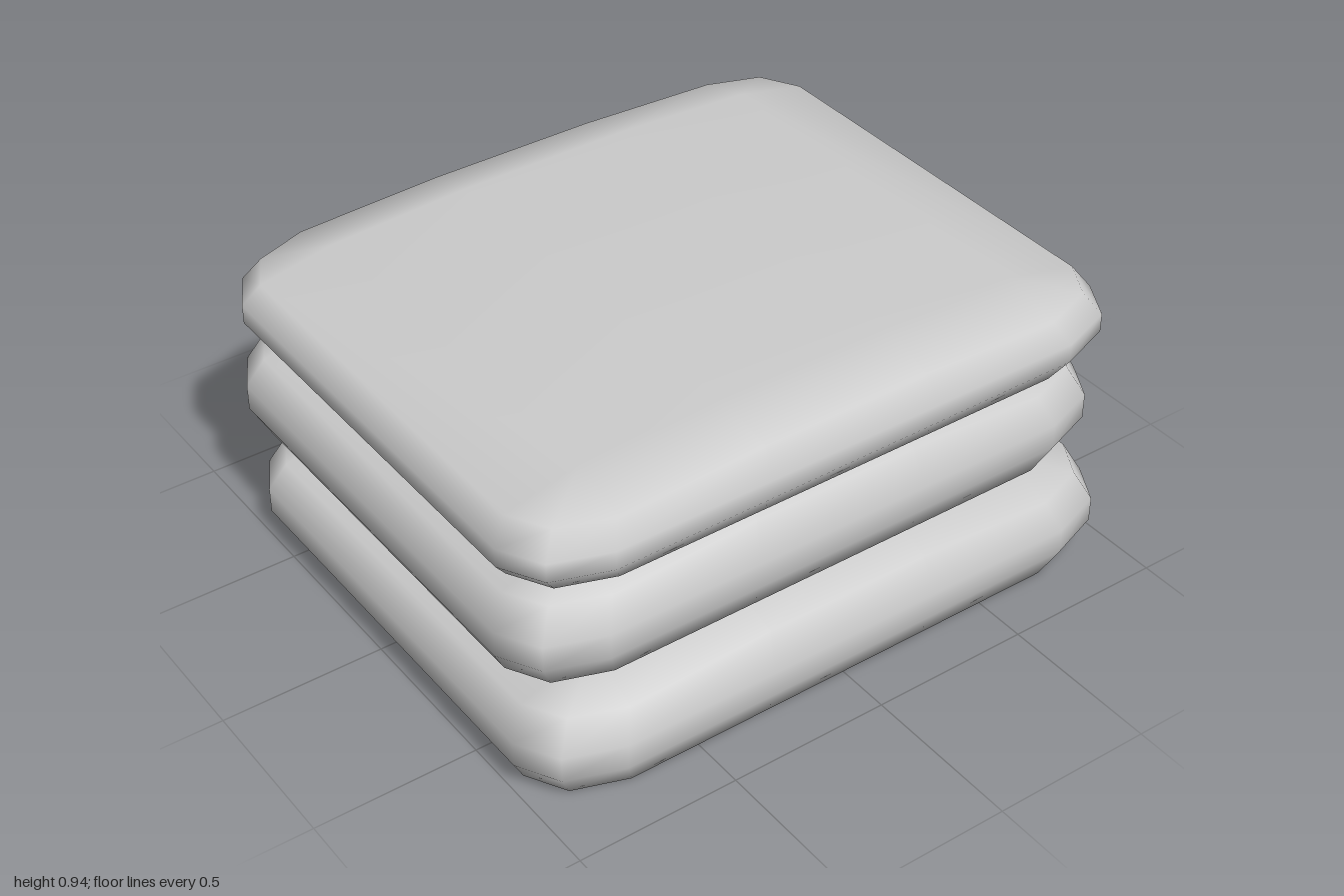
import * as THREE from 'three';
import { mergeVertices } from 'three/addons/utils/BufferGeometryUtils.js';

// One cushion: horizontal rings joined by quads, with a crown that arches across x.
function cushionGeometry(yScale) {
  // Plan outline, counterclockwise from above, built by mirroring one corner
  const corner = [[0.76, 0.84], [0.93, 0.78], [1, 0.655]];
  const flip = (pts, sx, sz) => pts.map(([x, z]) => [x * sx, z * sz]);
  const back = corner.slice().reverse();
  const outline = [
    [-0.28, 0.84], [0.28, 0.84], ...corner, ...flip(back, 1, -1),
    [0.28, -0.84], [-0.28, -0.84], ...flip(corner, -1, -1), ...flip(back, -1, 1),
  ];
  // The flat patches share one point per rounded corner
  const patch = outline.map(([x, z]) => [
    Math.sign(x) * (Math.abs(x) < 0.5 ? 0.28 : 0.72), Math.sign(z) * 0.62]);
  const inset = outline.map(([x, z]) => [x * 0.952, z * 0.952]);

  // [plan points, height, amount of crown]
  const rings = [
    [patch, 0, 0], [inset, 0.004, 0], [outline, 0.07, 0],
    [outline, 0.128, 0], [inset, 0.196, 0.018], [patch, 0.245, 0.022],
  ];
  const n = outline.length;
  const positions = [];
  for (const [pts, y, crown] of rings) {
    for (const [x, z] of pts) {
      positions.push(x, (y + (Math.abs(x) < 0.5 ? crown : 0)) * yScale, z);
    }
  }

  const index = [];
  const quad = (a, b, c, d) => index.push(a, b, c, a, c, d);
  for (let j = 0; j < rings.length - 1; j++) {
    for (let i = 0; i < n; i++) {
      const k = (i + 1) % n;
      quad(j * n + i, j * n + k, (j + 1) * n + k, (j + 1) * n + i);
    }
  }
  // Flat underside and arched top, three strips each
  const top = (rings.length - 1) * n;
  for (const [a, b, c, d] of [[0, 1, 8, 9], [1, 2, 7, 8], [15, 0, 9, 10]]) {
    quad(top + a, top + b, top + c, top + d);
    quad(d, c, b, a);
  }

  let geo = new THREE.BufferGeometry();
  geo.setAttribute('position', new THREE.Float32BufferAttribute(positions, 3));
  geo.setIndex(index);
  geo = mergeVertices(geo);
  // Drop triangles that collapsed at the patch corners
  const src = geo.index.array;
  const kept = [];
  for (let i = 0; i < src.length; i += 3) {
    const [a, b, c] = [src[i], src[i + 1], src[i + 2]];
    if (a !== b && b !== c && c !== a) kept.push(a, b, c);
  }
  geo.setIndex(kept);
  geo.computeVertexNormals();
  return geo;
}

export function createModel() {
  const group = new THREE.Group();
  group.name = 'cushionStack';
  const material = new THREE.MeshStandardMaterial({ color: 0xcccccc });
  // Stack, slightly shifted front to back: name, base height, z offset, thickness scale
  const layers = [
    ['bottomCushion', 0, 0.037, 1.36],
    ['middleCushion', 0.333, -0.035, 1.36],
    ['topCushion', 0.676, -0.005, 1],
  ];
  for (const [name, y, z, scale] of layers) {
    const mesh = new THREE.Mesh(cushionGeometry(scale), material);
    mesh.name = name;
    mesh.position.set(0, y, z);
    group.add(mesh);
  }
  return group;
}
